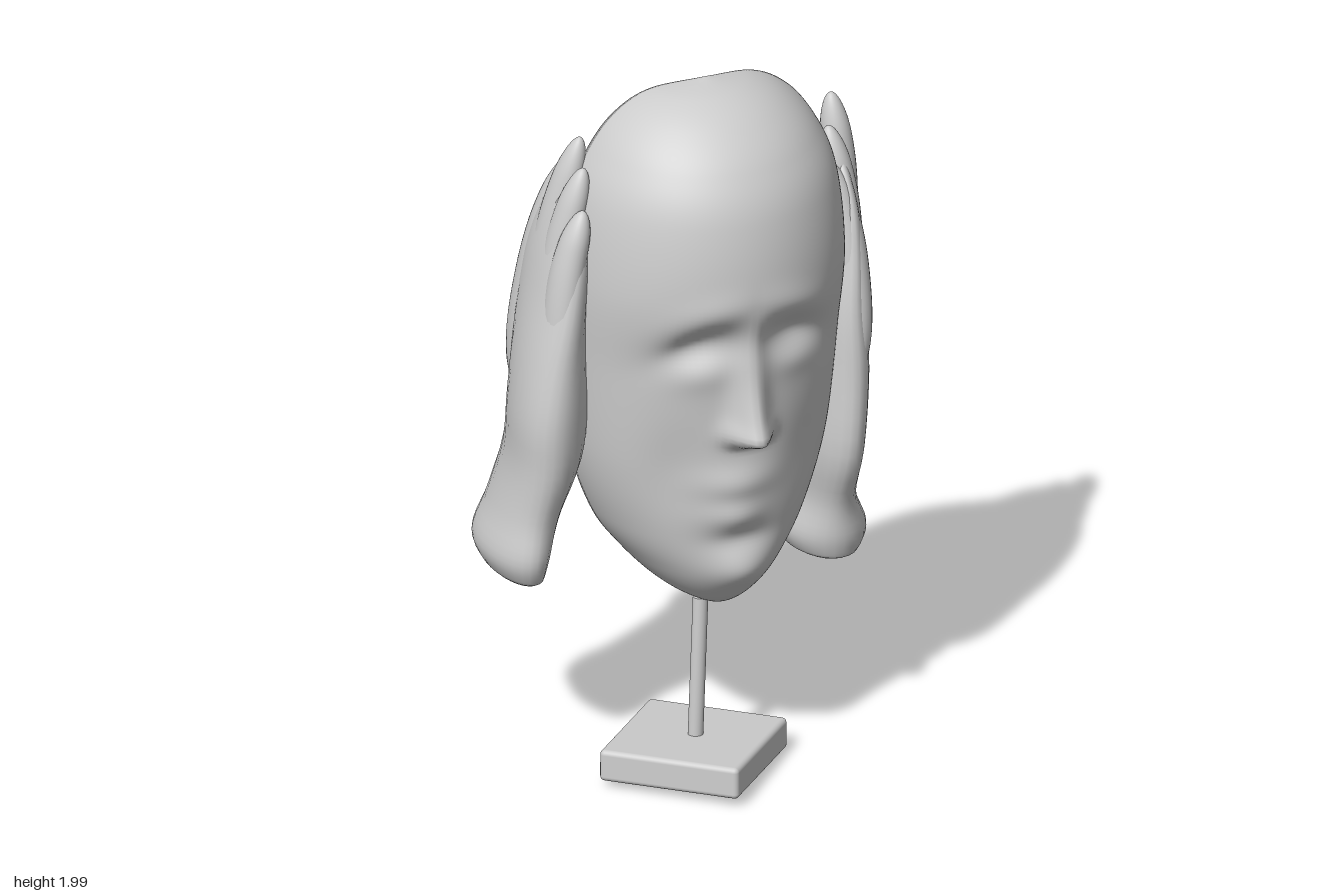
import * as THREE from 'three';
import { RoundedBoxGeometry } from 'three/addons/geometries/RoundedBoxGeometry.js';

const material = new THREE.MeshStandardMaterial({ color: 0xcccccc, side: THREE.DoubleSide });
const V = (x, y, z) => new THREE.Vector3(x, y, z);
const spline = (pts) => new THREE.CatmullRomCurve3(pts, false, 'catmullrom', 0.5);
const bump = (d, s) => Math.exp(-((d / s) ** 2));

function mesh(name, geometry) {
  const m = new THREE.Mesh(geometry, material);
  m.name = name;
  return m;
}

// Stack of closed rings, running upward; point(u, v) gives each vertex
function rings(rows, cols, point) {
  const pos = [], index = [];
  for (let i = 0; i <= rows; i++) {
    for (let j = 0; j < cols; j++) {
      pos.push(...point(i / rows, j / cols));
      if (i === rows) continue;
      const a = i * cols + j, b = i * cols + (j + 1) % cols;
      index.push(a, b, a + cols, b, b + cols, a + cols);
    }
  }
  const g = new THREE.BufferGeometry();
  g.setAttribute('position', new THREE.Float32BufferAttribute(pos, 3));
  g.setIndex(index);
  g.computeVertexNormals();
  return g;
}

// Rounded limb through sections [x, y, z, halfBreadth, halfThickness, yaw]
const YAW = 0.43;
function limb(name, sections, endStart, endTop) {
  const path = spline(sections.map((s) => V(s[0], s[1], s[2])));
  const size = spline(sections.map((s) => V(s[3], s[4], s[5] ?? YAW)));
  const round = (d, e) => (d >= e ? 1 : Math.sqrt(Math.max(0, 1 - (1 - d / e) ** 2)));
  return mesh(name, rings(44, 28, (u, v) => {
    const t = (1 - Math.cos(Math.PI * u)) / 2, a = v * Math.PI * 2;
    const c = path.getPoint(t), r = size.getPoint(t);
    const k = round(t, endStart) * round(1 - t, endTop);
    const p = Math.cos(a) * r.x * k, q = Math.sin(a) * r.y * k;
    const sin = Math.sin(r.z), cos = Math.cos(r.z);
    return [c.x + p * sin + q * cos, c.y, c.z + p * cos - q * sin];
  }));
}

// Relief of the face: nose, brows, closed eyes, mouth, chin
function relief(x, y) {
  const ax = Math.abs(x);
  const n = THREE.MathUtils.clamp((1.46 - y) / 0.38, 0, 1);
  const under = THREE.MathUtils.smoothstep(y, 1.02, 1.075);
  let d = n * under * (0.03 + 0.07 * n) * bump(x, 0.032 + 0.018 * n);
  d += 0.015 * bump(ax - 0.05, 0.03) * bump(y - 1.08, 0.035);
  d += 0.01 * bump(ax - 0.13, 0.13) * bump(y - 1.47 + ax * ax, 0.05);
  d -= 0.05 * bump(ax - 0.14, 0.1) * bump(y - 1.36 + ax * ax, 0.06);
  d += 0.012 * bump(ax - 0.16, 0.08) * bump(y - 1.27, 0.05);
  d -= 0.02 * bump(ax - 0.2, 0.09) * bump(y - 0.95, 0.14);
  d += 0.02 * bump(x + 0.03, 0.1) * bump(y - 0.92, 0.05);
  d += 0.022 * bump(x + 0.03, 0.08) * bump(y - 0.825, 0.045);
  d -= 0.012 * bump(x, 0.09) * bump(y - 0.745, 0.035);
  d += 0.025 * bump(x, 0.09) * bump(y - 0.65, 0.06);
  return d;
}

// Hollow mask: each ring runs across the face and back along the smooth inside
function buildMask() {
  // [y, halfWidth, rimZ, depth]
  const profile = [
    [0.49, 0, 0.14, 0], [0.505, 0.06, 0.1, 0.1], [0.55, 0.14, 0.04, 0.22], [0.63, 0.218, 0, 0.31],
    [0.75, 0.3, -0.02, 0.345], [0.95, 0.365, -0.03, 0.37], [1.25, 0.395, -0.03, 0.38],
    [1.48, 0.403, -0.03, 0.422], [1.7, 0.378, -0.03, 0.395], [1.83, 0.325, -0.03, 0.335],
    [1.92, 0.25, -0.03, 0.25], [1.975, 0.15, -0.02, 0.145], [2.0, 0, 0.02, 0],
  ];
  const shape = spline(profile.map((p) => V(p[1], p[0], p[3])));
  const rim = spline(profile.map((p) => V(0, p[0], p[2])));
  shape.arcLengthDivisions = 600;
  const g = rings(170, 144, (u, v) => {
    const t = shape.getUtoTmapping(u), s = shape.getPoint(t), z0 = rim.getPoint(t).z;
    const inside = v >= 0.5;
    const a = (inside ? 1.5 - 2 * v : 2 * v - 0.5) * Math.PI;
    const front = Math.max(0, Math.cos(a));
    let x = s.x * Math.sin(a), y = s.y, z = z0 + s.z * Math.cos(a);
    if (inside) {
      z = z0 + s.z * 0.82 * front - 0.006;
      z += 0.006 * (Math.sin(x * 17 + y * 5) * Math.sin(y * 13) + Math.sin(x * 11 - y * 21)) * front;
      x *= 0.93;
      y = 1.25 + (y - 1.25) * 0.965;
    } else z += relief(x, y) * front;
    return [x + (y - 1.3) * 0.02, y, z];
  });
  const m = mesh('mask', g);
  m.rotation.y = THREE.MathUtils.degToRad(25);
  m.position.set(0.065, 0, 0.017);
  return m;
}

// Hand: wrist and palm, four closed fingers from little to index, thumb at the back
function buildHand(name, palm, knuckle, tips, thumb) {
  const hand = new THREE.Group();
  hand.name = name;
  hand.add(limb('palm', palm, 0.05, 0.12));
  ['littleFinger', 'ringFinger', 'middleFinger', 'indexFinger'].forEach((finger, i) => {
    const off = 0.14 - i * 0.094, [tx, ty, tz] = tips[i];
    const bx = knuckle[0] + off * Math.sin(YAW), bz = knuckle[2] + off * Math.cos(YAW), by = knuckle[1];
    const at = (k, bow, hb, ht) => [
      bx + (tx - bx) * k + bow * Math.sign(bx), by + (ty - by) * k, bz + (tz - bz) * k, hb, ht];
    hand.add(limb(finger, [
      at(0, -0.015, 0.05, 0.035), at(0.25, 0.018, 0.064, 0.05), at(0.5, 0.03, 0.064, 0.05),
      at(0.75, 0.025, 0.056, 0.046), at(1, 0, 0.036, 0.034),
    ], 0.2, 0.14));
  });
  hand.add(limb('thumb', thumb, 0.3, 0.14));
  return hand;
}

export function createModel() {
  const model = new THREE.Group();
  model.name = 'maskOnStand';
  model.add(buildMask());

  model.add(buildHand('leftHand',
    [[0.385, 0.48, -0.22, 0.155, 0.085], [0.385, 0.56, -0.22, 0.18, 0.12], [0.39, 0.68, -0.19, 0.165, 0.08],
      [0.385, 0.85, -0.175, 0.22, 0.085, 0.5], [0.4, 1.08, -0.18, 0.215, 0.085, 0.5], [0.415, 1.27, -0.18, 0.19, 0.07],
      [0.425, 1.47, -0.195, 0.16, 0.05], [0.42, 1.7, -0.215, 0.12, 0.032]],
    [0.42, 1.02, -0.175],
    [[0.415, 1.67, -0.13], [0.415, 1.75, -0.185], [0.42, 1.815, -0.26], [0.405, 1.67, -0.325]],
    [[0.34, 0.64, -0.22, 0.09, 0.08, 0.68], [0.275, 0.8, -0.28, 0.14, 0.11, 0.68], [0.265, 0.95, -0.34, 0.13, 0.085, 0.68],
      [0.265, 1.08, -0.39, 0.085, 0.06, 0.68], [0.25, 1.19, -0.425, 0.052, 0.05, 0.68], [0.26, 1.28, -0.43, 0.036, 0.04, 0.68]]));

  model.add(buildHand('rightHand',
    [[-0.43, 0.59, 0.21, 0.14, 0.055], [-0.44, 0.68, 0.21, 0.18, 0.085], [-0.405, 0.8, 0.19, 0.18, 0.09, 0.3],
      [-0.355, 0.95, 0.17, 0.21, 0.105, 0.15], [-0.34, 1.1, 0.165, 0.22, 0.11, 0.1], [-0.335, 1.27, 0.165, 0.2, 0.095, 0.2],
      [-0.32, 1.47, 0.16, 0.175, 0.07, 0.35], [-0.285, 1.74, 0.15, 0.13, 0.045]],
    [-0.36, 1.02, 0.17],
    [[-0.245, 1.7, 0.255], [-0.245, 1.8, 0.195], [-0.255, 1.86, 0.125], [-0.285, 1.77, 0.055]],
    [[-0.4, 0.74, 0.14, 0.1, 0.08, 0.2], [-0.35, 0.88, 0.07, 0.14, 0.1, 0], [-0.32, 1.02, 0, 0.12, 0.095, -0.2],
      [-0.295, 1.13, -0.065, 0.08, 0.07, -0.2], [-0.275, 1.23, -0.1, 0.052, 0.05, 0], [-0.265, 1.32, -0.115, 0.038, 0.042, 0.2]]));

  // Leaning post and slightly tilted square foot
  const from = V(0.06, 0.08, 0.213), to = V(0.074, 0.51, 0.187);
  const post = mesh('post', new THREE.CylinderGeometry(0.021, 0.021, from.distanceTo(to), 24));
  post.position.copy(from).lerp(to, 0.5);
  post.quaternion.setFromUnitVectors(V(0, 1, 0), to.clone().sub(from).normalize());
  model.add(post);

  const base = mesh('base', new RoundedBoxGeometry(0.4, 0.09, 0.4, 3, 0.014));
  base.rotation.set(-0.055, -0.33, 0, 'XYZ');
  base.position.set(0.055, 0.064, 0.215);
  model.add(base);
  return model;
}
